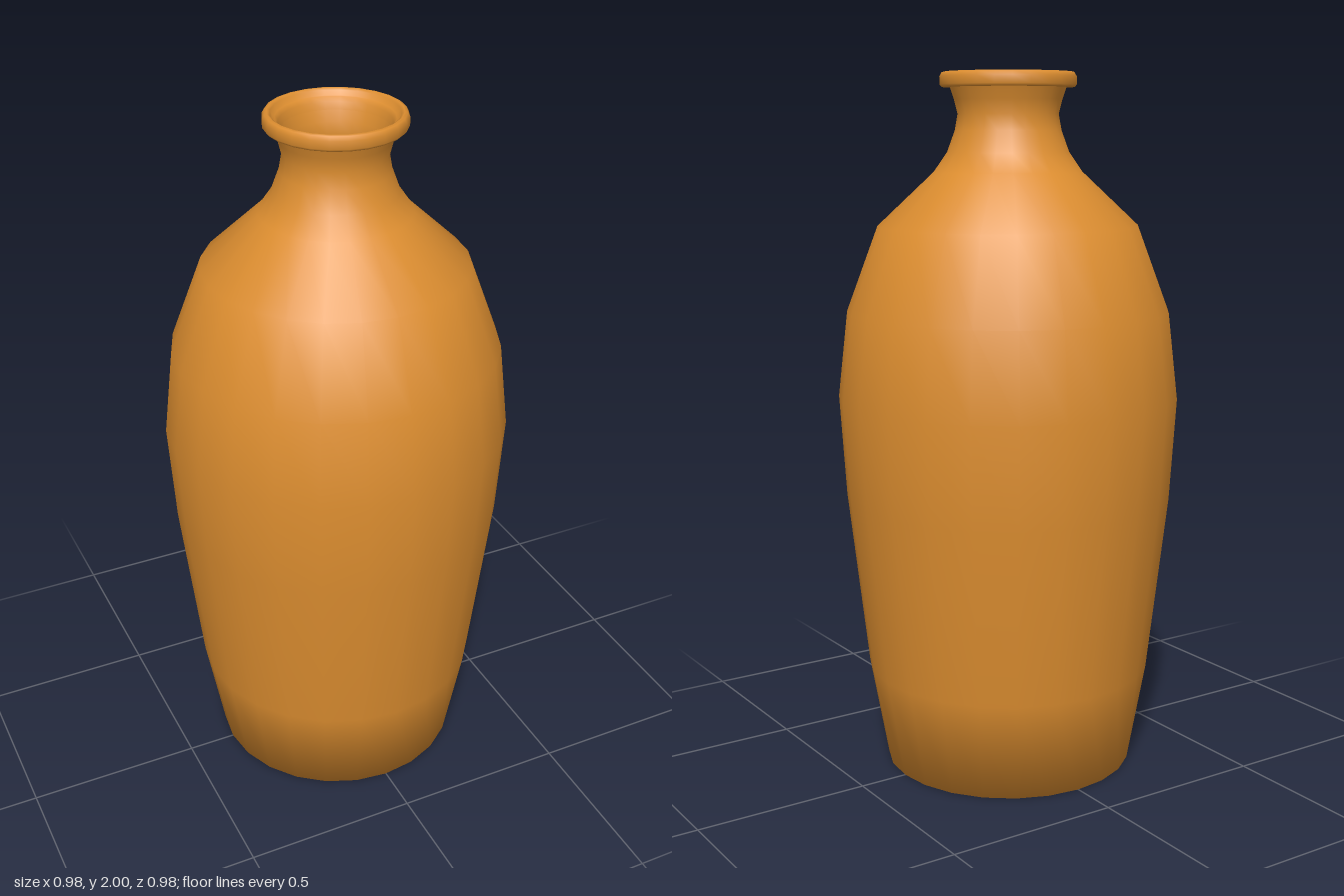
import * as THREE from 'three';

const SIDES = 24;

export function createModel() {
  const group = new THREE.Group();
  group.name = 'vase';
  const clay = new THREE.MeshStandardMaterial({ color: 0xdd8e30 });
  clay.name = 'amber clay';

  // Turns a [radius, height] profile around the y axis
  const turn = (name, profile) => {
    const points = profile.map(([r, y]) => new THREE.Vector2(r, y));
    const mesh = new THREE.Mesh(new THREE.LatheGeometry(points, SIDES), clay);
    mesh.name = name;
    group.add(mesh);
  };

  // Closed base, tapering belly, shoulder and flared neck
  turn('body', [
    [0, 0], [0.36, 0], [0.412, 0.29], [0.47, 0.8], [0.488, 1.09],
    [0.46, 1.335], [0.37, 1.575], [0.21, 1.725], [0.172, 1.78],
    [0.15, 1.84], [0.142, 1.885], [0.152, 1.925], [0.164, 1.96],
  ]);

  // Rolled lip with a shallow step inside the mouth
  turn('lip', [
    [0.16, 1.958], [0.186, 1.958], [0.192, 1.965], [0.192, 1.987],
    [0.186, 1.998], [0.178, 2], [0.17, 1.995], [0.165, 1.982],
    [0.158, 1.982], [0.15, 1.97], [0.144, 1.95],
  ]);

  // Hollow inside, running from the mouth down to the floor
  turn('interior', [
    [0.144, 1.95], [0.134, 1.92], [0.128, 1.885], [0.135, 1.84],
    [0.157, 1.775], [0.195, 1.71], [0.35, 1.56], [0.44, 1.325],
    [0.468, 1.09], [0.45, 0.8], [0.392, 0.29], [0.345, 0.03], [0, 0.03],
  ]);

  return group;
}
